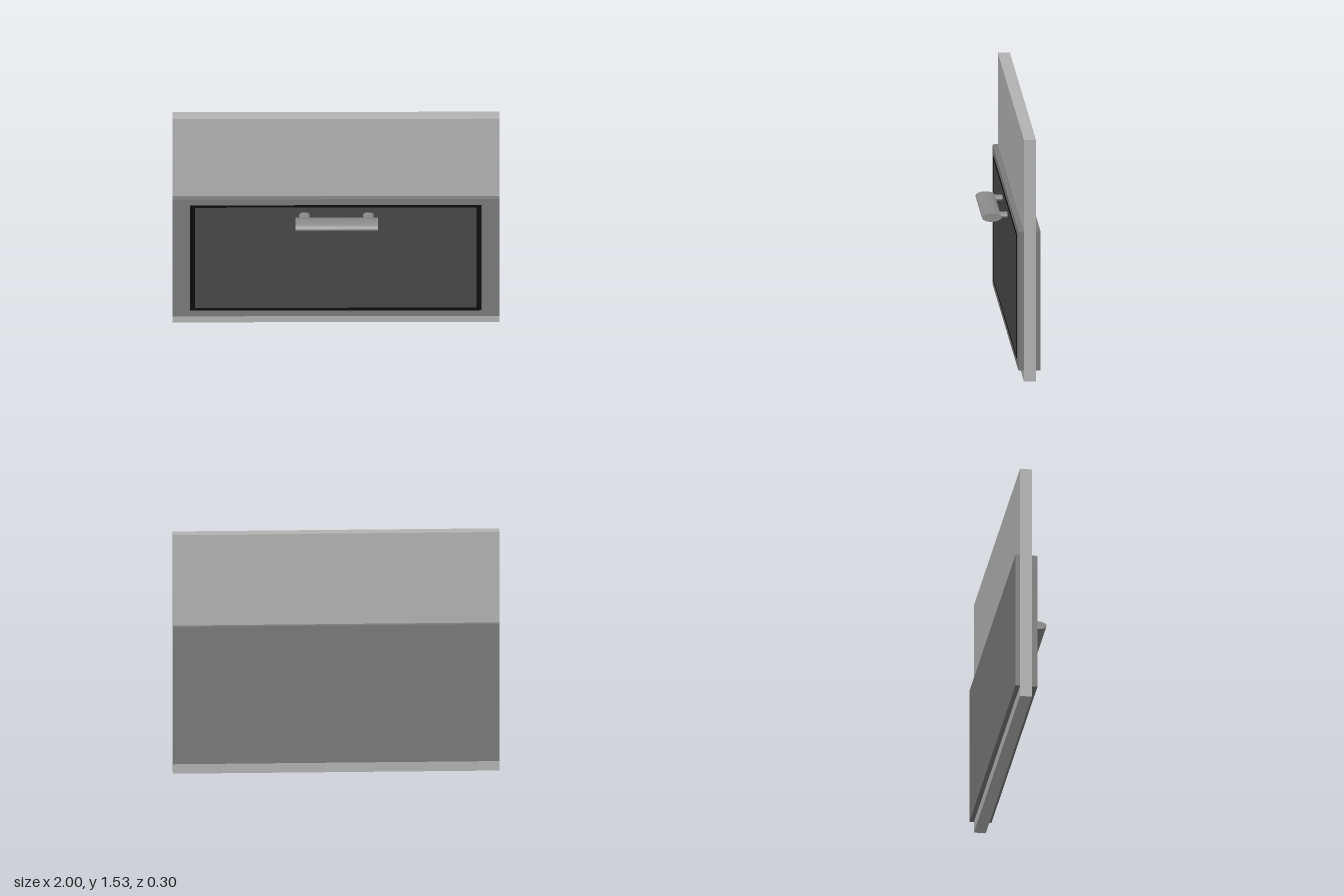
import * as THREE from 'three';

const mat = (name, color) => {
  const m = new THREE.MeshStandardMaterial({ color });
  m.name = name;
  return m;
};

export function createModel() {
  const model = new THREE.Group();
  const lightGrey = mat('light grey', 0xb2b2b2);
  const midGrey = mat('mid grey', 0x797979);
  const charcoal = mat('charcoal', 0x474747);
  const black = mat('black', 0x0c0c0c);
  const metal = mat('handle grey', 0x8a8a8a);

  const add = (name, geometry, material) => {
    const mesh = new THREE.Mesh(geometry, material);
    mesh.name = name;
    model.add(mesh);
    return mesh;
  };
  // Box given by its minimum and maximum corners
  const box = (name, material, [x0, y0, z0], [x1, y1, z1]) =>
    add(name, new THREE.BoxGeometry(x1 - x0, y1 - y0, z1 - z0), material)
      .position.set((x0 + x1) / 2, (y0 + y1) / 2, (z0 + z1) / 2);

  // Tall core board between the front and back plates
  box('coreBoard', lightGrey, [-1, 0, -0.122], [1, 1.535, -0.048]);
  box('frontPlate', midGrey, [-1, 0.07, -0.048], [1, 0.953, -0.014]);
  box('backPlate', midGrey, [-1, 0.07, -0.15], [1, 0.953, -0.122]);

  // Thin black border with the door pane inside it
  const border = new THREE.Shape([
    new THREE.Vector2(-0.895, 0.115), new THREE.Vector2(0.89, 0.115),
    new THREE.Vector2(0.89, 0.908), new THREE.Vector2(-0.895, 0.908),
  ]);
  border.holes.push(new THREE.Path([
    new THREE.Vector2(-0.863, 0.136), new THREE.Vector2(-0.863, 0.892),
    new THREE.Vector2(0.86, 0.892), new THREE.Vector2(0.86, 0.136),
  ]));
  add('doorBorder', new THREE.ExtrudeGeometry(border, { depth: 0.003, bevelEnabled: false }), black)
    .position.z = -0.014;
  box('doorPane', charcoal, [-0.863, 0.136, -0.014], [0.86, 0.892, -0.01]);

  // Flattened oval grip
  const grip = new THREE.CylinderGeometry(1, 1, 0.506, 32);
  grip.rotateZ(Math.PI / 2).scale(1, 0.027, 0.06);
  add('handleGrip', grip, metal).position.set(0.005, 0.839, 0.09);

  // Two short stems joining the grip to the door
  for (const x of [-0.193, 0.199]) {
    const stem = new THREE.CylinderGeometry(1, 1, 0.065, 20);
    stem.rotateX(Math.PI / 2).scale(0.033, 0.018, 1);
    add('handleStem', stem, metal).position.set(x, 0.839, 0.0205);
  }
  return model;
}
